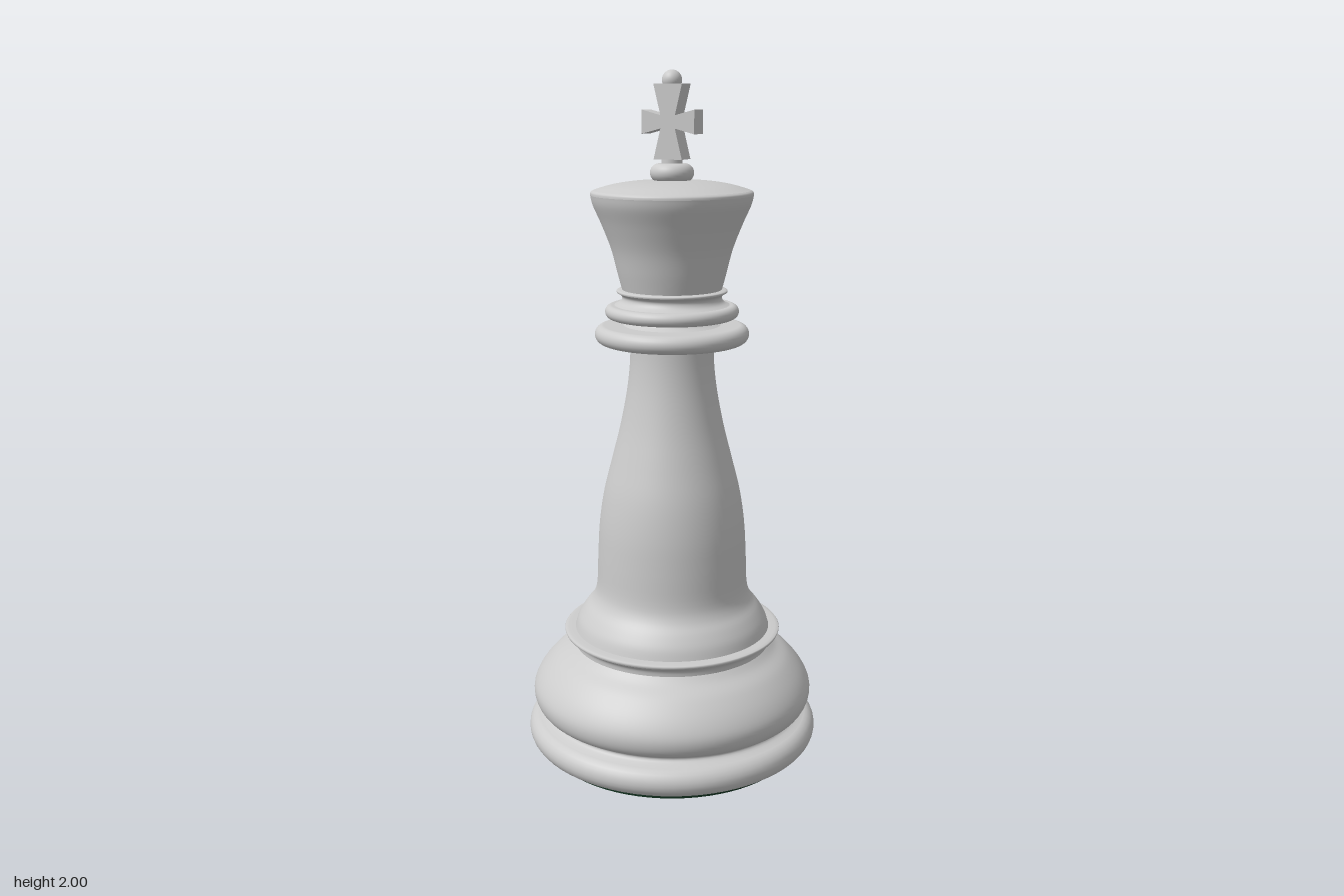
import * as THREE from 'three';

const grey = new THREE.MeshStandardMaterial({ color: 0xcccccc, side: THREE.DoubleSide });
const felt = new THREE.MeshStandardMaterial({ color: 0x12301f });

// Turned part: a smooth curve through [radius, y] points, spun about y
function turned(name, points, steps = 32) {
  const curve = new THREE.SplineCurve(points.map(([r, y]) => new THREE.Vector2(r, y)));
  const profile = curve.getPoints(steps);
  profile.forEach((p) => { p.x = Math.max(p.x, 0); });
  const mesh = new THREE.Mesh(new THREE.LatheGeometry(profile, 72), grey);
  mesh.name = name;
  return mesh;
}

// Rounded disc with a flat top and bottom, its rim an elliptical bead
function collar(name, radius, y0, y1, inner = 0) {
  const h = (y1 - y0) / 2;
  const profile = [new THREE.Vector2(inner, y0)];
  for (let i = 0; i <= 12; i++) {
    const a = -Math.PI / 2 + (Math.PI * i) / 12;
    profile.push(new THREE.Vector2(radius - h + h * Math.cos(a), (y0 + y1) / 2 + h * Math.sin(a)));
  }
  profile.push(new THREE.Vector2(inner, y1));
  const mesh = new THREE.Mesh(new THREE.LatheGeometry(profile, 72), grey);
  mesh.name = name;
  return mesh;
}

// Flared cross, four arms mirrored from one quarter outline
function cross() {
  const quarter = [[0.08, 0.033], [0.022, 0.018], [0.043, 0.102]];
  const right = [...quarter].reverse();
  const outline = [
    ...right,
    ...quarter.map(([x, y]) => [x, -y]),
    ...right.map(([x, y]) => [-x, -y]),
    ...quarter.map(([x, y]) => [-x, y]),
  ];
  const shape = new THREE.Shape(outline.map(([x, y]) => new THREE.Vector2(x, y)));
  const geometry = new THREE.ExtrudeGeometry(shape, { depth: 0.06, bevelEnabled: false });
  geometry.translate(0, 1.86, -0.03);
  const mesh = new THREE.Mesh(geometry, grey);
  mesh.name = 'cross';
  return mesh;
}

export function createModel() {
  const group = new THREE.Group();
  group.name = 'chessKing';

  // Felt pad under the base
  const pad = new THREE.Mesh(new THREE.CylinderGeometry(0.385, 0.385, 0.025, 72), felt);
  pad.name = 'feltPad';
  pad.position.y = 0.0125;
  group.add(pad);

  // Base: bottom ring, groove, bulge and lip
  group.add(
    collar('baseRing', 0.437, 0.018, 0.105),
    turned('baseGroove', [[0.405, 0.104], [0.385, 0.112], [0.38, 0.122], [0.39, 0.13]], 8),
    turned('baseBulge', [[0.38, 0.128], [0.405, 0.138], [0.419, 0.165], [0.418, 0.2], [0.395, 0.242],
      [0.355, 0.285], [0.315, 0.312], [0.295, 0.33]]),
    turned('baseLip', [[0.295, 0.33], [0.297, 0.345], [0.308, 0.357], [0.322, 0.364]], 10),
    turned('baseLipRim', [[0.322, 0.364], [0.322, 0.373], [0.292, 0.375]], 6),
  );

  // Stem
  group.add(turned('stem', [[0.292, 0.375], [0.282, 0.405], [0.262, 0.437], [0.238, 0.468], [0.225, 0.51],
    [0.221, 0.6], [0.215, 0.7], [0.2, 0.8], [0.175, 0.9], [0.15, 1.0], [0.131, 1.1], [0.122, 1.18],
    [0.12, 1.25]], 48));

  // Neck collars
  group.add(
    collar('lowerCollar', 0.222, 1.24, 1.292),
    turned('neck', [[0.15, 1.288], [0.122, 1.3], [0.122, 1.31], [0.15, 1.318]], 10),
    collar('upperCollar', 0.192, 1.312, 1.35),
    turned('neckFlare', [[0.175, 1.346], [0.152, 1.356], [0.143, 1.368], [0.145, 1.378], [0.158, 1.386]], 14),
    turned('neckLip', [[0.158, 1.386], [0.158, 1.392], [0.143, 1.395]], 6),
  );

  // Head: flared cup, rounded edge and shallow domed top
  group.add(
    turned('head', [[0.143, 1.395], [0.155, 1.44], [0.173, 1.51], [0.2, 1.58], [0.223, 1.632], [0.23, 1.66]]),
    turned('headEdge', [[0.23, 1.66], [0.229, 1.668], [0.222, 1.673]], 6),
    turned('headTop', [[0.222, 1.673], [0.17, 1.688], [0.1, 1.698], [0, 1.702]], 16),
  );

  // Finial: button, cross and ball
  const ball = new THREE.Mesh(new THREE.SphereGeometry(0.028, 32, 20), grey);
  ball.name = 'finialBall';
  ball.position.y = 1.972;
  group.add(collar('finialButton', 0.062, 1.695, 1.747), cross(), ball);

  // Short peg joining the button and the cross
  const peg = new THREE.Mesh(new THREE.CylinderGeometry(0.03, 0.03, 0.02, 24), grey);
  peg.name = 'finialPeg';
  peg.position.y = 1.75;
  group.add(peg);

  return group;
}
